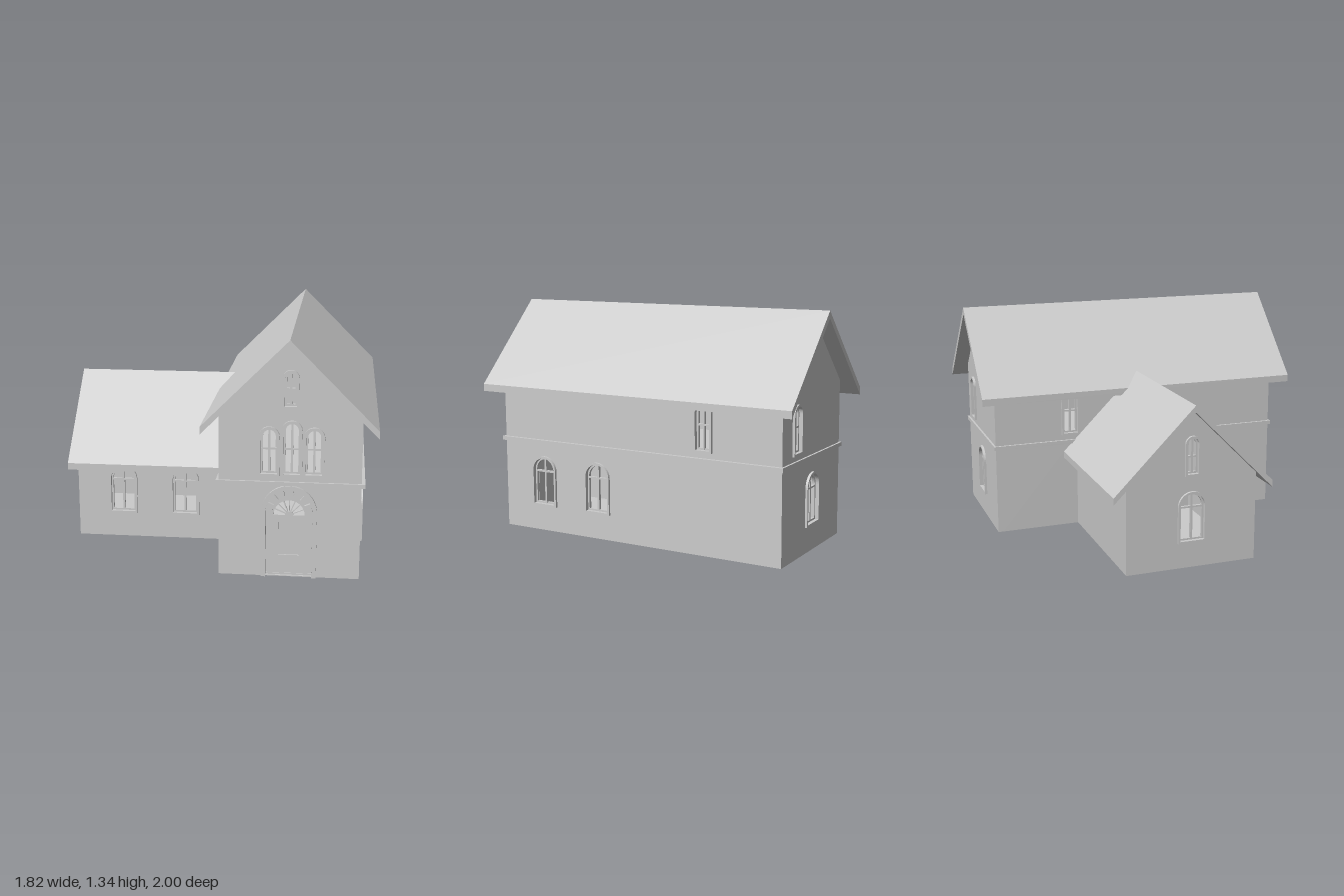
import * as THREE from 'three';

const material = new THREE.MeshStandardMaterial({ color: 0xcccccc, side: THREE.DoubleSide });
const T = 0.03; // wall thickness

function addMesh(parent, name, geometry) {
  const mesh = new THREE.Mesh(geometry, material);
  mesh.name = name;
  parent.add(mesh);
  return mesh;
}

// Box given by its two opposite corners
function box(parent, name, x0, x1, y0, y1, z0, z1) {
  const g = new THREE.BoxGeometry(x1 - x0, y1 - y0, z1 - z0);
  g.translate((x0 + x1) / 2, (y0 + y1) / 2, (z0 + z1) / 2);
  return addMesh(parent, name, g);
}

function extrude(shape, z0, z1) {
  const g = new THREE.ExtrudeGeometry(shape, { depth: z1 - z0, bevelEnabled: false, curveSegments: 12 });
  return g.translate(0, 0, z0);
}

// Round-headed opening
function archPath(x, w, y0, top, Type = THREE.Path) {
  const r = w / 2, p = new Type();
  p.moveTo(x - r, y0);
  p.lineTo(x + r, y0);
  p.lineTo(x + r, top - r);
  p.absarc(x, top - r, r, 0, Math.PI, false);
  p.closePath();
  return p;
}

function archFrame(x, w, y0, top, f) {
  const s = archPath(x, w, y0, top, THREE.Shape);
  s.holes.push(archPath(x, w - 2 * f, y0 + f, top - f));
  return s;
}

function ringSector(x, y, r0, r1, a0, a1) {
  const s = new THREE.Shape();
  s.absarc(x, y, r1, a0, a1, false);
  s.absarc(x, y, r0, a1, a0, true);
  s.closePath();
  return s;
}

// Frame, sash, mullion and transom, with the wall's outer face at z = 0
function addWindow(parent, { x, w, y0, top, bar }) {
  const win = new THREE.Group();
  win.name = 'window';
  addMesh(win, 'windowFrame', extrude(archFrame(x, w, y0, top, 0.012), -T, 0.014));
  addMesh(win, 'windowSash', extrude(archFrame(x, w - 0.02, y0 + 0.01, top - 0.01, 0.012), -0.024, -0.008));
  box(win, 'mullion', x - 0.006, x + 0.006, y0 + 0.015, top - 0.015, -0.022, -0.006);
  box(win, 'transom', x - w / 2 + 0.015, x + w / 2 - 0.015, bar - 0.005, bar + 0.005, -0.022, -0.006);
  parent.add(win);
}

// Wall from an outline with its windows; local +z points outwards
function wall(parent, name, outline, windows, position, rotY, door) {
  const group = new THREE.Group();
  group.name = name;
  const shape = new THREE.Shape(outline.map(([x, y]) => new THREE.Vector2(x, y)));
  for (const o of windows) {
    shape.holes.push(archPath(o.x, o.w - 0.012, o.y0 + 0.006, o.top - 0.006));
    addWindow(group, o);
  }
  if (door) shape.holes.push(archPath(door.x, door.w, 0.005, door.top));
  addMesh(group, name + 'Panel', extrude(shape, -T, 0));
  group.position.set(...position);
  group.rotation.y = rotY;
  parent.add(group);
  return group;
}

const rect = (x0, x1, h) => [[x0, 0], [x1, 0], [x1, h], [x0, h]];
const gable = (x0, x1, eave, ridge) =>
  [[x0, 0], [x1, 0], [x1, eave], [(x0 + x1) / 2, ridge], [x0, eave]];
const lowWin = x => ({ x, w: 0.17, y0: 0.15, top: 0.45, bar: 0.357 });
const highWin = (x, top = 0.855) => ({ x, w: 0.113, y0: 0.58, top, bar: 0.73 });

// Chevron roof slab extruded along its ridge
function roof(parent, name, centre, half, ridge, thick, from, to) {
  const s = new THREE.Shape([
    [centre - half, ridge - half], [centre - half, ridge - half - thick], [centre, ridge - thick],
    [centre + half, ridge - half - thick], [centre + half, ridge - half], [centre, ridge],
  ].map(([x, y]) => new THREE.Vector2(x, y)));
  return addMesh(parent, name, extrude(s, from, to));
}

// Arched entrance on a wall face at z = 0
function entrance(parent, x) {
  const door = new THREE.Group();
  door.name = 'entrance';
  const cy = 0.375;
  // Outer moulding and pilasters
  addMesh(door, 'archMoulding', extrude(ringSector(x, cy, 0.128, 0.152, 0, Math.PI), -T, 0.016));
  for (const s of [-1, 1]) {
    const a = x + s * 0.128, b = x + s * 0.152;
    box(door, 'pilaster', Math.min(a, b), Math.max(a, b), 0, cy, -T, 0.016);
  }
  // Arch stones
  const n = 7, step = Math.PI / n;
  for (let i = 0; i < n; i++) {
    addMesh(door, 'archStone',
      extrude(ringSector(x, cy, 0.09, 0.126, i * step + 0.03, (i + 1) * step - 0.03), -T, 0.004));
  }
  box(door, 'keystone', x - 0.022, x + 0.022, 0.49, 0.526, -T, 0.018);
  // Backing plate around the fanlight
  const plate = archPath(x, 0.255, 0.335, 0.503, THREE.Shape);
  const light = new THREE.Path();
  light.absarc(x, 0.352, 0.085, 0, Math.PI, false);
  light.closePath();
  plate.holes.push(light);
  addMesh(door, 'fanlightPlate', extrude(plate, -T - 0.004, -0.014));
  // Fanlight spokes and hub
  for (let i = 1; i < 8; i++) {
    const g = new THREE.BoxGeometry(0.088, 0.005, 0.01);
    g.translate(0.044, 0, 0).rotateZ(i * Math.PI / 8).translate(x, 0.352, -0.022);
    addMesh(door, 'fanlightSpoke', g);
  }
  addMesh(door, 'fanlightHub', extrude(ringSector(x, 0.352, 0.004, 0.022, 0, Math.PI), -0.028, -0.014));
  // Door leaf with a sunk centre panel
  const leaf = new THREE.Shape(rect(x - 0.127, x + 0.127, 0.34).map(p => new THREE.Vector2(...p)));
  leaf.holes.push(new THREE.Path([[-0.059, 0.12], [0.059, 0.12], [0.059, 0.325], [-0.059, 0.325]]
    .map(p => new THREE.Vector2(x + p[0], p[1]))));
  addMesh(door, 'doorLeaf', extrude(leaf, -T - 0.004, -0.014));
  box(door, 'doorPanel', x - 0.062, x + 0.062, 0.115, 0.33, -T - 0.004, -0.022);
  parent.add(door);
}

export function createModel() {
  const house = new THREE.Group();
  house.name = 'house';
  const R = Math.PI / 2;

  // Main block
  const X0 = 0.045, X1 = 0.82, Z = 0.91, cx = 0.432;
  const front = wall(house, 'frontWall', gable(X0, X1, 0.915, 1.305), [
    highWin(0.32), highWin(0.443, 0.89), highWin(0.563),
    { x: 0.434, w: 0.09, y0: 0.956, top: 1.166, bar: 1.06 },
  ], [0, 0, Z], 0, { x: cx, w: 0.255, top: 0.503 });
  entrance(front, cx);
  wall(house, 'backWall', gable(-X1, -X0, 0.915, 1.305), [lowWin(-cx), highWin(-0.64)], [0, 0, -Z], Math.PI);
  wall(house, 'rightWall', rect(-Z + T, Z - T, 0.915),
    [lowWin(-0.63), lowWin(-0.255), highWin(0.44)], [X1, 0, 0], R);
  wall(house, 'leftWall', rect(-Z + T, Z - T, 0.915), [highWin(-0.44)], [X0, 0, 0], -R);
  box(house, 'groundFloor', X0 + 0.01, X1 - 0.01, 0, 0.015, -Z + 0.01, Z - 0.01);
  box(house, 'storeyBand', 0.03, 0.84, 0.525, 0.548, -0.922, 0.922);
  roof(house, 'mainRoof', 0.43, 0.475, 1.34, 0.042, -1, 1);

  // Side wing
  const W0 = -0.87, zb = -0.4, zf = 0.38, zc = -0.01;
  wall(house, 'wingFrontWall', rect(W0 + T, X0, 0.52), [lowWin(-0.595), lowWin(-0.22)], [0, 0, zf], 0);
  wall(house, 'wingBackWall', rect(-X0, -W0 - T, 0.52), [], [0, 0, zb], Math.PI);
  wall(house, 'wingEndWall', gable(zb, zf, 0.525, 0.915), [
    lowWin(zc), { x: zc, w: 0.09, y0: 0.54, top: 0.77, bar: 0.65 },
  ], [W0, 0, 0], -R);
  box(house, 'wingFloor', W0 + 0.01, X0, 0, 0.015, zb + 0.01, zf - 0.01);
  const wingRoof = roof(house, 'wingRoof', zc, 0.475, 0.95, 0.04, -0.042, 0.912);
  wingRoof.rotation.y = -R;

  return house;
}
